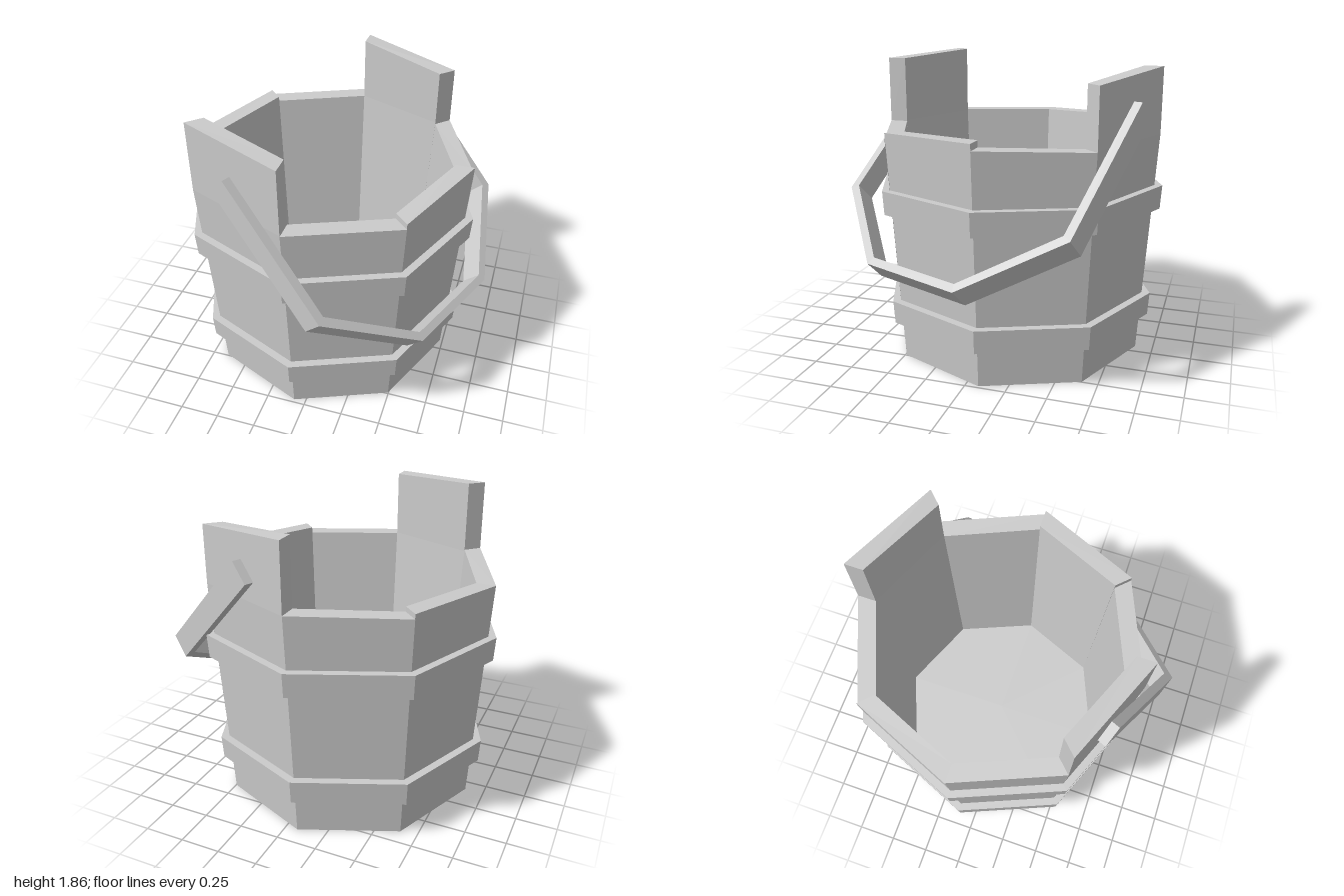
import * as THREE from 'three';

const material = new THREE.MeshStandardMaterial({ color: 0xcccccc, flatShading: true, side: THREE.DoubleSide });
const SIDES = 8;
const STEP = (Math.PI * 2) / SIDES;

// One octagon segment lofted through levels of { inner, outer, y: [start, end] }
function segmentGeometry(k, levels) {
  const a = k * STEP, b = a + STEP;
  const at = (r, t, y) => [r * Math.sin(t), y, r * Math.cos(t)];
  const rings = levels.map(({ inner, outer, y }) => [
    at(outer, a, y[0]), at(outer, b, y[1]), at(inner, b, y[1]), at(inner, a, y[0]),
  ]);
  const pos = [];
  const quad = (p, q, r, s) => pos.push(...p, ...q, ...r, ...p, ...r, ...s);
  for (let l = 0; l < rings.length - 1; l++) {
    const lo = rings[l], hi = rings[l + 1];
    for (let i = 0; i < 4; i++) {
      const j = (i + 1) % 4;
      quad(lo[i], lo[j], hi[j], hi[i]);
    }
  }
  const first = rings[0], last = rings[rings.length - 1];
  quad(first[3], first[2], first[1], first[0]);
  quad(...last);
  const geometry = new THREE.BufferGeometry();
  geometry.setAttribute('position', new THREE.Float32BufferAttribute(pos, 3));
  geometry.computeVertexNormals();
  return geometry;
}

function addMesh(parent, name, geometry) {
  const mesh = new THREE.Mesh(geometry, material);
  mesh.name = name;
  parent.add(mesh);
  return mesh;
}

export function createModel() {
  const model = new THREE.Group();
  model.name = 'bucket';
  const body = new THREE.Group();
  body.name = 'bucketBody';
  body.position.set(-0.075, 0, -0.08);
  model.add(body);

  // Staves: uneven top heights at both edges, two tall ones carry the handle
  const tops = [
    [1.415, 1.415], [1.45, 1.47], [1.43, 1.41], [1.77, 1.825],
    [1.42, 1.41], [1.44, 1.42], [1.42, 1.43], [1.86, 1.83],
  ];
  tops.forEach((y, k) => {
    const tall = y[0] > 1.6;
    const levels = [{ inner: 0.695, outer: 0.808, y: [0, 0] }];
    if (tall) levels.push({ inner: 0.78, outer: 0.895, y: [1.42, 1.42] });
    levels.push({ inner: 0.78, outer: 0.895, y });
    addMesh(body, tall ? 'tallStave' : 'stave', segmentGeometry(k, levels));
  });

  // Floor
  const floor = addMesh(body, 'floor', new THREE.CylinderGeometry(0.7, 0.697, 0.08, SIDES));
  floor.position.y = 0.04;

  // Hoops
  const hoops = [
    { name: 'lowerHoop', y0: 0.24, y1: 0.385, r0: 0.874, r1: 0.883 },
    { name: 'upperHoop', y0: 0.952, y1: 1.1, r0: 0.915, r1: 0.924 },
  ];
  for (const { name, y0, y1, r0, r1 } of hoops) {
    const hoop = new THREE.Group();
    hoop.name = name;
    for (let k = 0; k < SIDES; k++) {
      addMesh(hoop, 'hoopSegment', segmentGeometry(k, [
        { inner: r0 - 0.08, outer: r0, y: [y0, y0] },
        { inner: r1 - 0.08, outer: r1, y: [y1, y1] },
      ]));
    }
    body.add(hoop);
  }

  // Handle: angular flat band, tipped down to one side
  const outer = [[0.885, 0], [0.885, 0.935], [0.35, 1.395]];
  const inner = [[0.83, 0], [0.83, 0.91], [0.33, 1.345]];
  const mirror = (pts) => pts.map(([s, p]) => [-s, p]).reverse();
  const outline = [...outer, ...mirror(outer), ...inner.map(([s, p]) => [-s, p]), ...[...inner].reverse()];
  const shape = new THREE.Shape(outline.map(([s, p]) => new THREE.Vector2(s, p)));
  const width = 0.148;
  const band = new THREE.ExtrudeGeometry(shape, { depth: width, bevelEnabled: false });
  band.translate(0, 0, -width);

  const along = new THREE.Vector3(-Math.sin(STEP / 2), 0, Math.cos(STEP / 2));
  const sideways = new THREE.Vector3(Math.cos(STEP / 2), 0, Math.sin(STEP / 2));
  const reach = sideways.clone().multiplyScalar(0.72).add(new THREE.Vector3(0, -0.694, 0)).normalize();
  const normal = new THREE.Vector3().crossVectors(along, reach);
  const basis = new THREE.Matrix4().makeBasis(along, reach, normal);
  basis.setPosition(sideways.x * -0.01, 1.65, sideways.z * -0.01);
  band.applyMatrix4(basis);
  addMesh(body, 'handle', band);

  return model;
}
